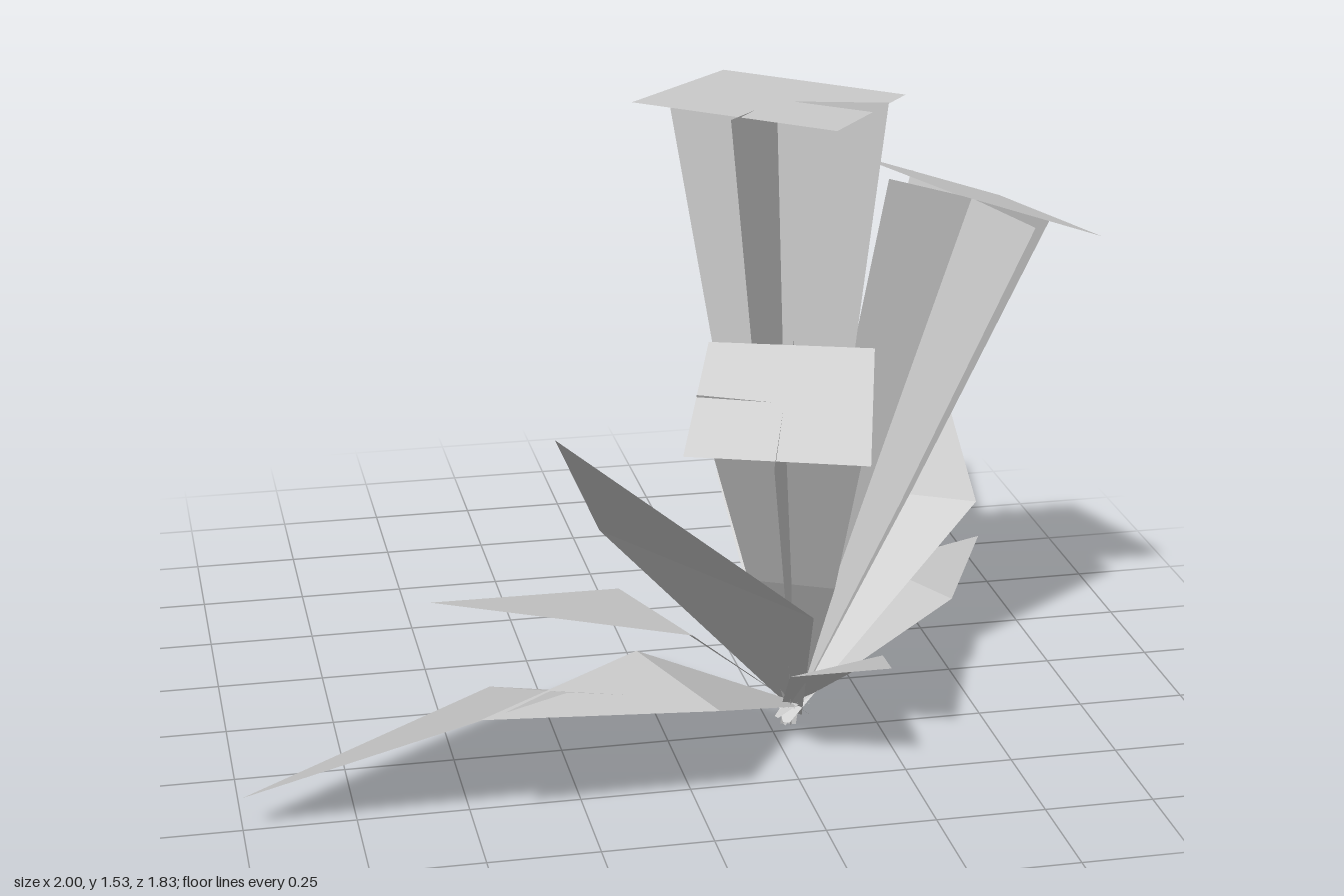
import * as THREE from 'three';

const V = (a) => new THREE.Vector3(...a);
const ROOT = V([0.3, 0.06, 0.22]);

const plantGrey = new THREE.MeshStandardMaterial({ color: 0xcccccc, side: THREE.DoubleSide });
plantGrey.name = 'plantGrey';

// Flat-shaded strip through left/right pairs of points
function strip(name, pairs) {
  const pos = [];
  for (let i = 0; i < pairs.length - 1; i++) {
    const [a, b] = pairs[i], [c, d] = pairs[i + 1];
    for (const p of [a, b, c, b, d, c]) pos.push(p.x, p.y, p.z);
  }
  const geo = new THREE.BufferGeometry();
  geo.setAttribute('position', new THREE.Float32BufferAttribute(pos, 3));
  geo.computeVertexNormals();
  const mesh = new THREE.Mesh(geo, plantGrey);
  mesh.name = name;
  return mesh;
}

// Pair of points on both sides of a centre
const across = (centre, half, scale) => [
  centre.clone().addScaledVector(half, -scale),
  centre.clone().addScaledVector(half, scale),
];

// Point slightly beyond the root, so that the strips cross at the base
function foot(toward) {
  return ROOT.clone().addScaledVector(toward.clone().sub(ROOT).normalize(), -0.055);
}

// Leaf: narrow foot, two wide corners and a pointed tip, creased across the corners
function leaf(name, leftPoint, tipPoint, rightPoint) {
  const l = V(leftPoint), r = V(rightPoint), tip = V(tipPoint);
  const start = foot(l.clone().lerp(r, 0.5));
  const half = r.clone().sub(l).normalize();
  return strip(name, [across(start, half, 0.008), [l, r], [tip, tip]]);
}

// Stem: two crossed flaring strips under a square cap
function stem(name, { top, arms, bow, cap }) {
  const group = new THREE.Group();
  group.name = name;
  const end = V(top);
  const mid = ROOT.clone().lerp(end, 0.44).add(V(bow));
  arms.forEach((arm, i) => {
    const half = V(arm);
    group.add(strip(`${name}Blade${i + 1}`, [
      across(foot(mid), half, 0.04), across(mid, half, 0.52), across(end, half, 1),
    ]));
  });
  const [a, b, c, d] = cap.map(V);
  group.add(strip(`${name}Cap`, [[a, b], [d, c]]));
  return group;
}

export function createModel() {
  const model = new THREE.Group();
  model.name = 'plant';

  // Three capped stems
  model.add(stem('tallStem', {
    top: [0.25, 1.503, 0.2],
    arms: [[0.208, 0.027, 0.16], [-0.152, 0.022, 0.215]],
    bow: [0, 0, 0],
    cap: [[0.2, 1.5, -0.11], [0.55, 1.495, 0.17], [0.305, 1.515, 0.51], [-0.075, 1.52, 0.21]],
  }));
  model.add(stem('leftStem', {
    top: [0.725, 1.234, 0.125],
    arms: [[0.215, -0.077, -0.07], [0.075, -0.005, 0.235]],
    bow: [0, 0, 0],
    cap: [[0.48, 1.31, -0.03], [0.877, 1.155, -0.145], [1.0, 1.16, 0.235], [0.615, 1.315, 0.35]],
  }));
  model.add(stem('frontStem', {
    top: [0.15, 0.99, 0.71],
    arms: [[0.175, -0.01, 0.06], [-0.06, -0.08, 0.165]],
    bow: [0, 0, 0.03],
    cap: [[0.03, 1.07, 0.52], [0.365, 1.07, 0.63], [0.285, 0.915, 0.91], [-0.08, 0.915, 0.78]],
  }));

  // Ring of leaves: one corner, tip, other corner
  model.add(leaf('largeBackLeaf', [0.26, 0.395, -0.415], [0.935, 0.585, -0.915], [0.825, 0.41, -0.07]));
  model.add(leaf('lowBackLeaf', [0.61, 0.215, -0.19], [0.93, 0.19, -0.37], [0.71, 0.25, 0.13]));
  model.add(leaf('smallFrontLeaf', [0.48, 0.225, 0.355], [0.43, 0.31, 0.605], [0.225, 0.26, 0.5]));
  model.add(leaf('tallFrontLeaf', [0.225, 0.49, 0.7], [-0.36, 1.0, 0.855], [-0.155, 0.535, 0.23]));
  model.add(leaf('lowFrontLeaf', [0.03, 0.27, 0.66], [-0.5, 0.315, 0.695], [-0.1, 0.3, 0.38]));
  model.add(leaf('longRightLeaf', [-0.31, 0.365, 0.7], [-1.0, 0.09, 0.515], [-0.39, 0.1, 0.08]));
  model.add(leaf('middleRightLeaf', [0.01, 0.365, 0.465], [-0.555, 0.435, 0.33], [-0.075, 0.305, 0.04]));

  return model;
}
